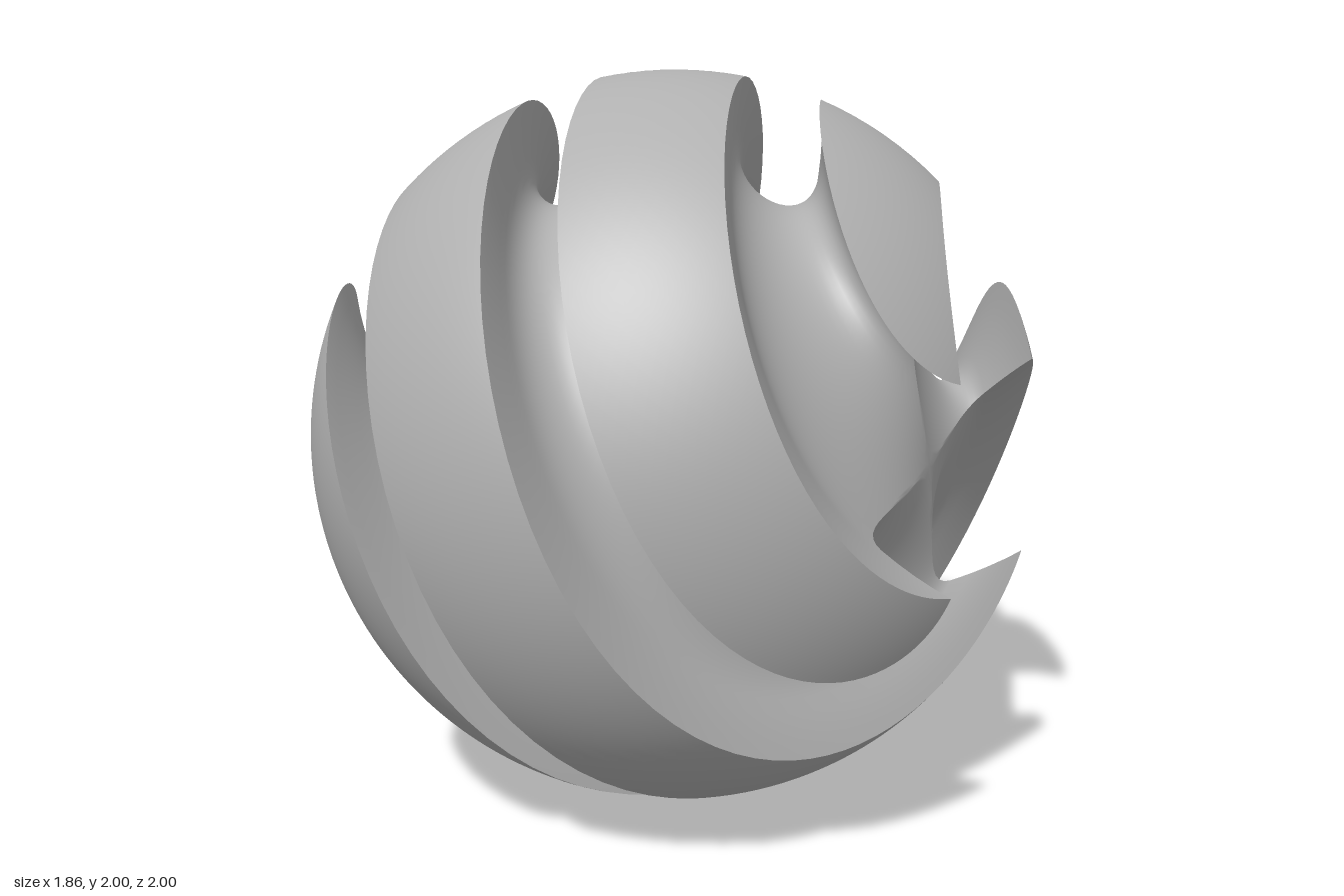
import * as THREE from 'three';
import { toCreasedNormals, mergeGeometries } from 'three/addons/utils/BufferGeometryUtils.js';

const ARMS = 4;
const SLOT = 0.26; // half width of each spiral slot, measured across the x axis
const TIP = Math.sqrt(1 - 2 * SLOT * SLOT); // where neighbouring slots meet on the sphere
const slotAngle = (x, i) => THREE.MathUtils.degToRad(45 - 144 * x + i * 90);

// Point at distance r from the x axis, turned by angle a from the front
const around = (x, r, a) => [x, 1 + r * Math.sin(a), r * Math.cos(a)];

// Surface from a rule: i runs along the axis, j runs around it
function surface(ni, nj, rule) {
  const pos = [], idx = [];
  for (let i = 0; i <= ni; i++) {
    const s = Math.sin((i / ni - 0.5) * Math.PI); // finer rows near the ends
    for (let j = 0; j <= nj; j++) pos.push(...rule(s, j / nj));
  }
  for (let i = 0; i < ni; i++) {
    for (let j = 0; j < nj; j++) {
      const a = i * (nj + 1) + j, b = a + nj + 1;
      idx.push(a, b, b + 1, a, b + 1, a + 1);
    }
  }
  const g = new THREE.BufferGeometry();
  g.setAttribute('position', new THREE.Float32BufferAttribute(pos, 3));
  g.setIndex(idx);
  g.computeVertexNormals();
  return g;
}

// Spherical band left standing between two slots
function ridge(i) {
  return surface(96, 20, (s, t) => {
    const x = s * TIP, r = Math.sqrt(1 - x * x);
    const edge = Math.asin(Math.min(1, SLOT / r));
    const from = slotAngle(x, i) + edge;
    const to = slotAngle(x, i + 1) - edge;
    return around(x, r, THREE.MathUtils.lerp(from, to, t));
  });
}

// Slot with straight walls and a rounded floor
function groove(i) {
  const wall = 0.86;
  return surface(96, 32, (s, t) => {
    const k = Math.abs(t - 0.5) * 2; // 1 at the rims, 0 on the floor line
    const radius = (end) => {
      if (k > 0.75) return THREE.MathUtils.lerp(wall, 1, (k - 0.75) / 0.25);
      const floor = 0.7 + 0.06 * end ** 6;
      return wall - (wall - floor) * Math.cos((k / 0.75) * Math.PI / 2);
    };
    const across = k > 0.75 ? 1 : Math.sin((k / 0.75) * Math.PI / 2);
    const u = SLOT * across * Math.sign(t - 0.5);
    const x = s * Math.sqrt(radius(1) ** 2 - 2 * u * u);
    const rho = radius(s);
    const v = Math.sqrt(Math.max(rho * rho - x * x - u * u, u * u));
    return around(x, Math.hypot(u, v), slotAngle(x, i) + Math.atan2(u, v));
  });
}

export function createModel() {
  const model = new THREE.Group();
  model.name = 'spiralBall';
  const grey = new THREE.MeshStandardMaterial({ color: 0xb0b0b0 });
  grey.name = 'grey';

  const grooves = [];
  for (let i = 0; i < ARMS; i++) {
    const band = new THREE.Mesh(ridge(i), grey);
    band.name = 'ridge' + (i + 1);
    model.add(band);
    grooves.push(groove(i));
  }

  // The slots cross at both ends, so they share one smoothed surface
  const carved = new THREE.Mesh(toCreasedNormals(mergeGeometries(grooves), 0.7), grey);
  carved.name = 'spiralGrooves';
  model.add(carved);
  return model;
}
